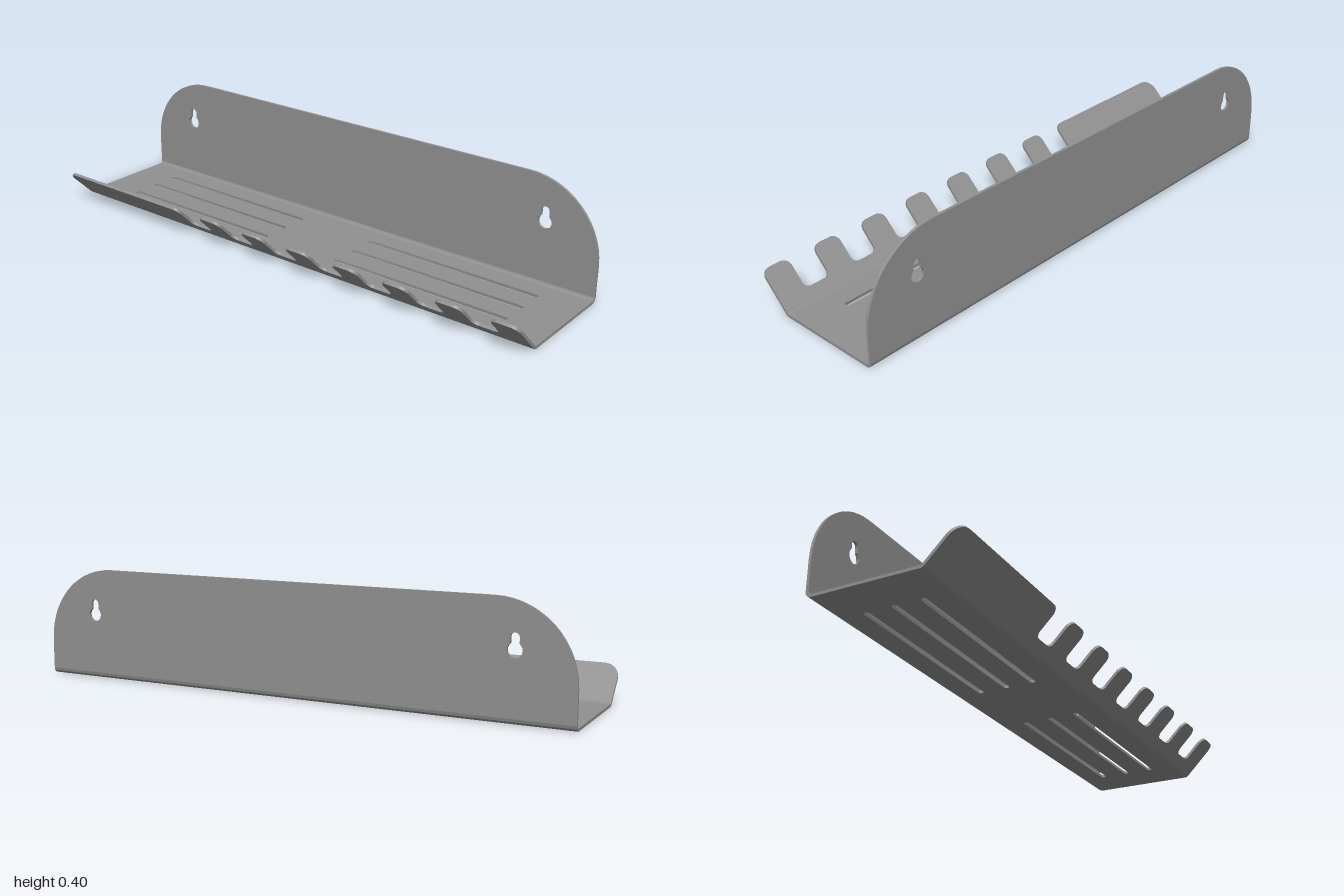
import * as THREE from 'three';
import { toCreasedNormals } from 'three/addons/utils/BufferGeometryUtils.js';

const T = 0.01;            // sheet thickness
const R = 0.02;            // outer bend radius
const X_BACK = 0.259;      // outer face of the back plate
const X_LIP = -0.133;      // where the front bend starts
const S = Math.SQRT1_2;

const material = new THREE.MeshStandardMaterial({ color: 0x909090 });

// Outline from [u, v, radius] corners; right-angled corners are rounded.
function roundedOutline(corners, path = new THREE.Shape()) {
  const k = 0.5523, n = corners.length;
  corners.forEach(([u, v, r = 0], i) => {
    const p = new THREE.Vector2(u, v);
    const towards = (j, d) => {
      const q = corners[(j + n) % n];
      return new THREE.Vector2(q[0], q[1]).sub(p).normalize().multiplyScalar(d).add(p);
    };
    const a = towards(i - 1, r), b = towards(i + 1, r);
    if (i === 0) path.moveTo(a.x, a.y); else path.lineTo(a.x, a.y);
    if (r > 0) {
      const c1 = a.clone().lerp(p, k), c2 = b.clone().lerp(p, k);
      path.bezierCurveTo(c1.x, c1.y, c2.x, c2.y, b.x, b.y);
    }
  });
  path.closePath();
  return path;
}

// Flat panel: u runs along z, v along the given direction, thickness along z cross v.
function panel(name, shape, origin, vDir) {
  const geo = new THREE.ExtrudeGeometry(shape, { depth: T, bevelEnabled: false, curveSegments: 14 });
  const u = new THREE.Vector3(0, 0, 1);
  const m = new THREE.Matrix4().makeBasis(u, vDir, u.clone().cross(vDir)).setPosition(origin);
  const mesh = new THREE.Mesh(toCreasedNormals(geo.applyMatrix4(m), 0.6), material);
  mesh.name = name;
  return mesh;
}

// Curved bend joining two panels, running the full length in z.
function bend(name, x, from, to) {
  const s = new THREE.Shape();
  s.absarc(0, 0, R, from, to, false);
  s.absarc(0, 0, R - T, to, from, true);
  s.closePath();
  const geo = new THREE.ExtrudeGeometry(s, { depth: 2, bevelEnabled: false, curveSegments: 8 });
  geo.translate(x, R, -1);
  const mesh = new THREE.Mesh(toCreasedNormals(geo, 0.6), material);
  mesh.name = name;
  return mesh;
}

// Keyhole: round opening with a narrow slot above it
function keyhole(z, y) {
  const r = 0.025, w = 0.015, top = 0.04;
  const a = Math.acos(w / r);
  const h = new THREE.Path();
  h.absarc(z, y, r, Math.PI - a, a, false);
  h.absarc(z, y + top, w, 0, Math.PI, false);
  h.closePath();
  return h;
}

export function createModel() {
  const group = new THREE.Group();
  group.name = 'wallShelf';

  // Back plate with large rounded top corners and two keyholes
  const h = 0.4 - R;
  const back = roundedOutline([[-1, 0], [1, 0], [1, h, 0.27], [-1, h, 0.27]]);
  for (const z of [-0.8, 0.8]) back.holes.push(keyhole(z, 0.235 - R));
  group.add(panel('backPlate', back, new THREE.Vector3(X_BACK, R, 0), new THREE.Vector3(0, 1, 0)));

  // Floor with two sets of three long slots
  const xEnd = X_BACK - R;
  const floor = roundedOutline([[-1, 0], [1, 0], [1, xEnd - X_LIP], [-1, xEnd - X_LIP]]);
  for (const side of [-1, 1]) {
    for (const x of [-0.042, 0.058, 0.158]) {
      const v = x - X_LIP, w = 0.01, z0 = side * 0.5 - 0.345, z1 = side * 0.5 + 0.345;
      floor.holes.push(roundedOutline(
        [[z0, v - w, w], [z1, v - w, w], [z1, v + w, w], [z0, v + w, w]], new THREE.Path()));
    }
  }
  group.add(panel('floor', floor, new THREE.Vector3(X_LIP, 0, 0), new THREE.Vector3(1, 0, 0)));

  // Sloping lip: seven notches between rounded fingers, then one long plain tab
  const L = 0.158, root = 0.044, tip = 0.03, inner = 0.022;
  const corners = [[-1, 0], [1, 0], [1, L, tip]];
  for (let i = 0; i < 7; i++) {
    const z1 = 0.9 - i * 0.2, z0 = z1 - 0.1;
    corners.push([z1, L, tip], [z1, root, inner], [z0, root, inner], [z0, L, tip]);
  }
  corners.push([-1, L, 0.055]);
  const lipOrigin = new THREE.Vector3(X_LIP - S * (R - T), R - S * (R - T), 0);
  group.add(panel('notchedLip', roundedOutline(corners), lipOrigin, new THREE.Vector3(-S, S, 0)));

  // Bends between the panels
  group.add(bend('backBend', xEnd, -Math.PI / 2, 0));
  group.add(bend('lipBend', X_LIP, -Math.PI * 0.75, -Math.PI / 2));
  return group;
}
